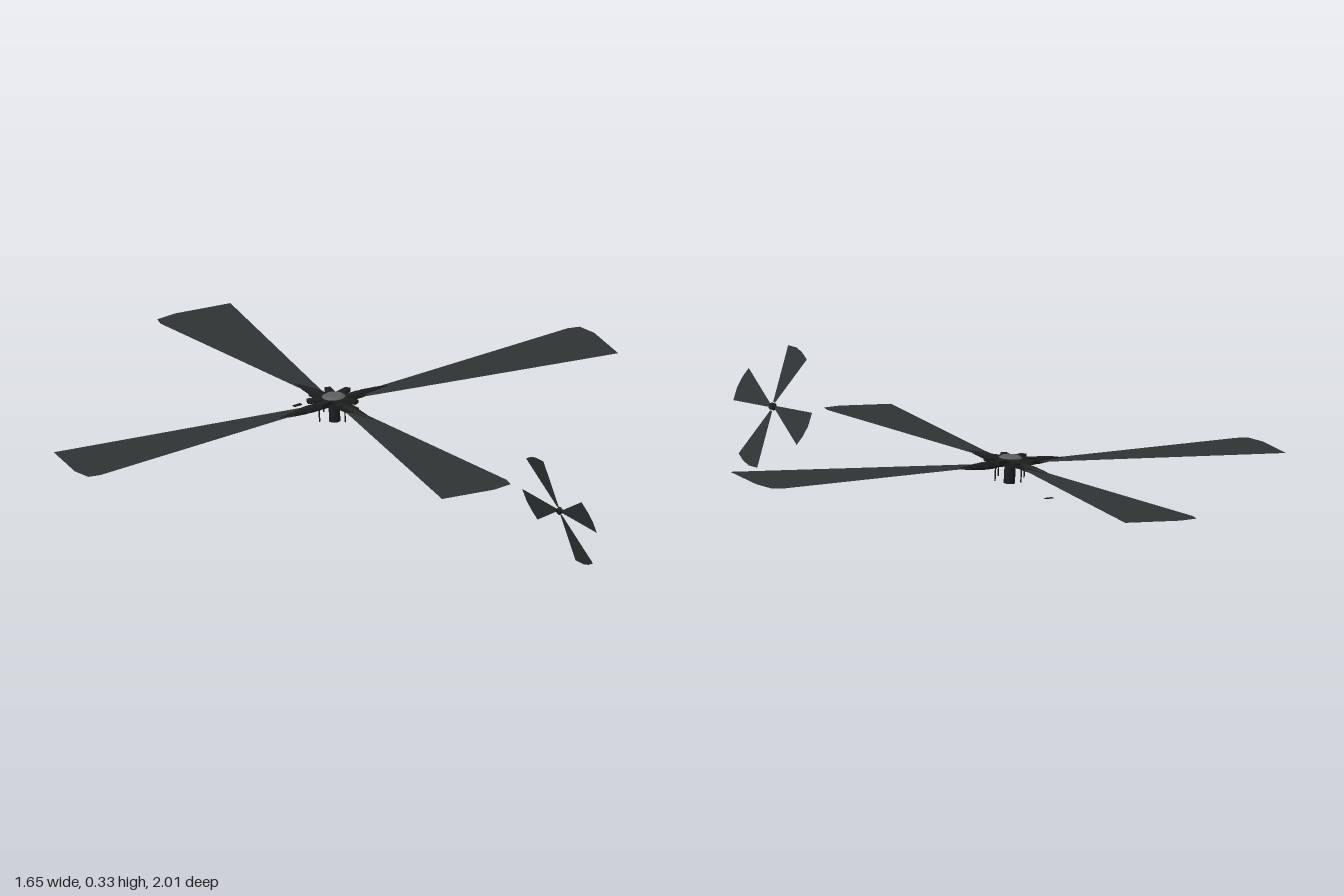
import * as THREE from 'three';

const paint = (color) => new THREE.MeshStandardMaterial({ color, side: THREE.DoubleSide });
const bladeMat = paint(0x2e3333), darkMat = paint(0x1c1e1e), capMat = paint(0x5a5e5e);

function add(parent, name, geometry, material, x = 0, y = 0, z = 0) {
  const mesh = new THREE.Mesh(geometry, material);
  mesh.name = name;
  mesh.position.set(x, y, z);
  parent.add(mesh);
  return mesh;
}

const toShape = (points) => new THREE.Shape(points.map(([x, y]) => new THREE.Vector2(x, y)));

// Flat plate of the given thickness, lying level
const plate = (shape, depth) =>
  new THREE.ExtrudeGeometry(shape, { depth, bevelEnabled: false }).rotateX(-Math.PI / 2);

// Four thin blades around a hub; outline points are [distance from hub, sideways]
function bladeSet(name, outline, widths) {
  const set = new THREE.Group();
  set.name = name + 's';
  const geometry = new THREE.ShapeGeometry(toShape(outline)).rotateX(Math.PI / 2);
  widths.forEach((width, i) => {
    const blade = add(set, name, geometry, bladeMat);
    blade.rotation.y = i * Math.PI / 2;
    blade.scale.z = width;
  });
  return set;
}

// Star outline with eight lugs, set between the four arms
function starShape(outer, inner) {
  const points = [];
  for (let i = 0; i < 8; i++) {
    for (const [offset, r] of [[-0.39, inner], [-0.11, outer], [0.11, outer]]) {
      const a = (i + 0.5) * Math.PI / 4 + offset;
      points.push([Math.cos(a) * r, Math.sin(a) * r]);
    }
  }
  return toShape(points);
}

// Thin chamfered frame that surrounds a blade grip
function yokeShape() {
  const outline = (g) => [
    [0.03 + g, -0.02 + g], [0.09 - g / 2, -0.02 + g], [0.104 - g, -0.009 + g / 2],
    [0.104 - g, 0.009 - g / 2], [0.09 - g / 2, 0.02 - g], [0.03 + g, 0.02 - g],
  ];
  const shape = toShape(outline(0));
  shape.holes.push(toShape(outline(0.005)));
  return shape;
}

function mainRotor() {
  const rotor = new THREE.Group();
  rotor.name = 'mainRotor';
  rotor.add(bladeSet('mainBlade', [
    [0.06, -0.01], [0.79, -0.012], [0.822, 0], [0.825, 0.06], [0.785, 0.218], [0.06, 0.016],
  ], [1.06, 1, 0.97, 0.93]));

  // Hub: mast, star plate and cap
  add(rotor, 'mast', new THREE.CylinderGeometry(0.016, 0.016, 0.07, 10), darkMat, 0, -0.02, 0);
  add(rotor, 'starPlate', plate(starShape(0.074, 0.034), 0.01), darkMat, 0, 0.006, 0);
  add(rotor, 'hubCap', new THREE.CylinderGeometry(0.024, 0.034, 0.006, 16), capMat, 0, 0.018, 0);

  // Blade grips tapering to both ends, their yokes, and thin pitch links hanging below
  const grip = new THREE.LatheGeometry([
    [0.006, 0.02], [0.011, 0.06], [0.011, 0.1], [0.006, 0.15], [0.001, 0.18],
  ].map(([r, h]) => new THREE.Vector2(r, h)), 8).rotateZ(-Math.PI / 2);
  const yoke = plate(yokeShape(), 0.006);
  const link = new THREE.CylinderGeometry(0.002, 0.002, 0.045, 6);
  for (let i = 0; i < 4; i++) {
    const arm = new THREE.Group();
    arm.name = 'rotorArm';
    arm.rotation.y = i * Math.PI / 2;
    add(arm, 'bladeGrip', grip, darkMat);
    add(arm, 'gripYoke', yoke, darkMat, 0, -0.003, 0);
    add(arm, 'pitchLink', link, darkMat, 0.05, -0.022, 0);
    rotor.add(arm);
  }
  return rotor;
}

function tailRotor() {
  const rotor = new THREE.Group();
  rotor.name = 'tailRotor';
  const spin = bladeSet('tailBlade', [
    [0.012, -0.003], [0.172, -0.003], [0.17, 0.035], [0.16, 0.063], [0.143, 0.091], [0.012, 0.006],
  ], [1, 1, 1, 1]);
  add(spin, 'tailHub', new THREE.CylinderGeometry(0.01, 0.01, 0.012, 10), darkMat);
  spin.rotation.set(0, Math.PI, Math.PI / 2);
  rotor.add(spin);
  return rotor;
}

export function createModel() {
  const model = new THREE.Group();
  model.name = 'rotorSet';

  // Main rotor leans gently towards the back
  const main = mainRotor();
  main.position.set(0, 0.125, -0.18);
  main.rotation.set(-0.067, 0, 0.008);
  model.add(main);

  // Upright tail rotor, canted sideways
  const tail = tailRotor();
  tail.position.set(0.027, 0.163, 0.83);
  tail.rotation.z = 0.33;
  model.add(tail);

  // Small loose plate under the rear blade
  add(model, 'smallPlate', new THREE.BoxGeometry(0.025, 0.002, 0.01), darkMat, 0.004, 0.05, -0.355);
  return model;
}
